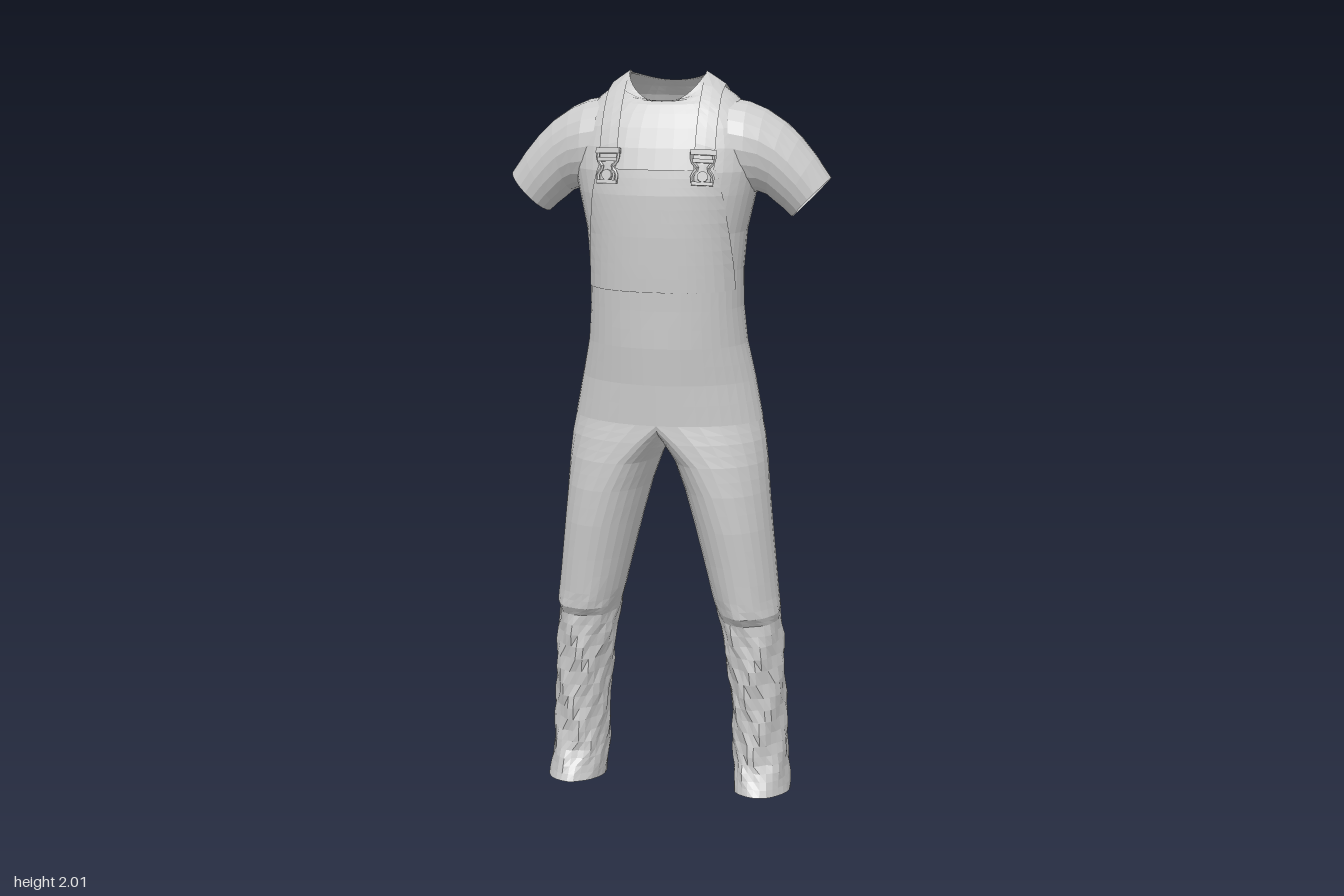
import * as THREE from 'three';

const fabric = new THREE.MeshStandardMaterial({ color: 0xcccccc, flatShading: true, side: THREE.DoubleSide });

// Surface made of nu x nv quads from point(u, v); quads failing keep(centre) are left out
function sheet(name, nu, nv, point, keep = () => true) {
  const pos = [], idx = [];
  for (let j = 0; j <= nv; j++) for (let i = 0; i <= nu; i++) pos.push(...point(i / nu, j / nv));
  const w = nu + 1;
  for (let j = 0; j < nv; j++) for (let i = 0; i < nu; i++) {
    const a = j * w + i, b = a + 1, c = a + w, d = c + 1;
    const mid = [0, 1, 2].map(k => (pos[a * 3 + k] + pos[d * 3 + k]) / 2);
    if (keep(mid)) idx.push(a, c, b, b, c, d);
  }
  const g = new THREE.BufferGeometry();
  g.setAttribute('position', new THREE.Float32BufferAttribute(pos, 3));
  g.setIndex(idx);
  g.computeVertexNormals();
  const m = new THREE.Mesh(g, fabric);
  m.name = name;
  return m;
}

// Row of a table at a fractional index
function rowAt(rows, r) {
  const i = Math.min(Math.max(Math.floor(r), 0), rows.length - 2), t = r - i;
  return rows[i].map((v, k) => v + (rows[i + 1][k] - v) * t);
}
// Fractional index at which column k reaches a value, searching between rows
function findRow(rows, k, value, from = 0) {
  for (let i = from; i < rows.length - 1; i++) {
    const a = rows[i][k], b = rows[i + 1][k];
    if ((a - value) * (b - value) <= 0 && a !== b) return i + (value - a) / (b - a);
  }
  return rows.length - 1;
}

// Torso sections: y, half width, back z, front z, neckline dip
const TORSO = [
  [1.09, .258, -.175, .15, 0], [1.2, .237, -.18, .155, 0], [1.3, .215, -.168, .165, 0],
  [1.4, .205, -.15, .168, 0], [1.5, .205, -.15, .174, 0], [1.6, .213, -.16, .178, 0],
  [1.7, .235, -.172, .178, 0], [1.76, .248, -.172, .17, 0], [1.82, .25, -.163, .152, 0],
  [1.87, .24, -.15, .13, 0], [1.91, .215, -.135, .11, .005], [1.945, .18, -.12, .095, .018],
  [1.975, .14, -.1, .085, .04], [2, .1, -.08, .078, .07]];
const N = 2.3;
const pw = (v, e) => Math.sign(v) * Math.abs(v) ** e;

function torsoPoint(r, a, puff = 1) {
  const [y, hw, zb, zf, dip] = rowAt(TORSO, r);
  const c = Math.cos(a), s = Math.sin(a);
  const blend = Math.min(1, Math.max(0, (r - 1) / 2)), e = 1 + (2 / N - 1) * blend;
  const spine = s < 0 ? .012 * Math.exp(-((c / .3) ** 2)) * Math.min(1, blend) : 0;
  const z = (zf + zb) / 2 + (zf - zb) / 2 * pw(s, e) + spine;
  const yy = y - dip * (s > 0 ? s ** 1.6 : .3 * s * s);
  return [hw * pw(c, e) * (puff > 1 ? 1 + (puff - 1) * .4 : 1), puff > 1 ? 1.7 + (yy - 1.7) * (yy > 1.7 ? puff : 1) : yy, z * puff];
}
// Point on the front (side 1) or back (side -1) at a sideways position x
function torsoAtX(r, x, side, puff) {
  const hw = rowAt(TORSO, r)[1];
  const c = pw(Math.max(-1, Math.min(1, x / hw)), N / 2);
  return torsoPoint(r, side * Math.acos(c), puff);
}

// Leg sections: y, inner x, hinge x, outer x, back z, front z
const LEG = [
  [1.09, 0, 0, .258, -.175, .15], [1.04, .004, .055, .267, -.173, .15], [.98, .02, .11, .273, -.168, .148],
  [.9, .048, .15, .279, -.16, .145], [.8, .075, .18, .288, -.15, .138], [.7, .1, .2, .298, -.14, .127],
  [.6, .125, .215, .308, -.131, .118], [.555, .138, .225, .314, -.13, .114], [.53, .142, .228, .312, -.13, .096],
  [.47, .153, .237, .318, -.133, .093], [.4, .165, .245, .322, -.135, .09], [.32, .174, .25, .327, -.138, .084],
  [.25, .18, .255, .33, -.14, .08], [.18, .183, .258, .333, -.143, .08], [.12, .185, .26, .337, -.146, .086],
  [.07, .187, .262, .341, -.149, .105], [.024, .19, .265, .345, -.152, .125]];

function legPoint(r, a, side) {
  const [y, inner, hinge, outer, zb, zf] = rowAt(LEG, r);
  const c = Math.cos(a), s = Math.sin(a);
  const low = Math.min(1, Math.max(0, (.62 - y) / .15)) * Math.min(1, y / .1);
  const fold = 1 + low * (.045 * Math.sin(5 * a + y * 31 + side) + .03 * Math.sin(9 * a - y * 47));
  const x = hinge + (c > 0 ? outer - hinge : hinge - inner) * c * fold;
  const dip = c < 0 ? .06 * c * Math.max(0, 1 - r / 2) : 0;
  const hem = .024 * s * Math.max(0, 1 - (y - .024) / .12);
  return [side * x, y + dip + hem, (zf + zb) / 2 + (zf - zb) / 2 * s * fold];
}

// Sleeve sections: top x, top y, bottom x, bottom y, middle z, half depth
const SLEEVE = [
  [.17, 1.94, .19, 1.7, -.012, .118], [.215, 1.932, .22, 1.695, -.014, .118], [.26, 1.913, .243, 1.698, -.018, .11],
  [.31, 1.88, .265, 1.69, -.02, .1], [.35, 1.843, .285, 1.673, -.02, .092], [.39, 1.795, .308, 1.655, -.019, .083],
  [.43, 1.738, .33, 1.635, -.017, .072]];

function sleevePoint(r, a, side) {
  const [tx, ty, bx, by, zc, hz] = rowAt(SLEEVE, r);
  const s = Math.sin(a), k = .5 + .5 * s;
  return [side * (bx + (tx - bx) * k), by + (ty - by) * k, zc + hz * pw(Math.cos(a), .9)];
}

// Shoulder strap running from the bib over the shoulder and down the back towards the spine
function strapPoint(u, v, side) {
  const back = v > .5, t = back ? (v - .5) * 2 : 1 - v * 2;
  const x = .125 + (u - .5) * .05 - (back ? .085 * t ** 1.5 : 0);
  const top = findRow(TORSO, 1, .125 + (u - .5) * .05, 8);
  const low = back ? 5.6 : 6.9;
  return torsoAtX(top + (low - top) * t, side * x, back ? -1 : 1, 1.035);
}

// Strap buckle: two bars, waisted side wires and a button
function buckle(side) {
  const g = new THREE.Group();
  g.name = side > 0 ? 'leftBuckle' : 'rightBuckle';
  const add = (geo, name, x, y, z) => {
    const m = new THREE.Mesh(geo, fabric);
    m.name = name;
    m.position.set(x, y, z);
    g.add(m);
  };
  add(new THREE.BoxGeometry(.066, .014, .012), 'topBar', 0, .038, 0);
  add(new THREE.BoxGeometry(.054, .01, .012), 'middleBar', 0, .016, 0);
  for (const s of [-1, 1]) {
    const path = new THREE.CatmullRomCurve3([[.029, .038], [.027, .014], [.014, -.004], [.026, -.022], [.024, -.042]]
      .map(([x, y]) => new THREE.Vector3(s * x, y, 0)));
    add(new THREE.TubeGeometry(path, 10, .005, 5), 'sideWire', 0, 0, 0);
  }
  add(new THREE.BoxGeometry(.056, .009, .012), 'bottomBar', 0, -.042, 0);
  add(new THREE.CylinderGeometry(.014, .014, .012, 10).rotateX(Math.PI / 2), 'button', 0, -.024, 0);
  const p = torsoAtX(7.2, side * .125, 1, 1.035);
  g.position.set(side * .125, 1.775, p[2] + .003);
  g.rotation.set(-.2, side * .2, 0);
  return g;
}

export function createModel() {
  const model = new THREE.Group();
  const TAU = Math.PI * 2, last = TORSO.length - 1;

  // Shirt and waist, with open armholes and neck
  const outsideSleeve = ([x, y, z]) =>
    Math.abs(x) < .18 || ((y - 1.815) / .1) ** 2 + ((z + .014) / .095) ** 2 > 1;
  model.add(sheet('torso', 44, last * 2, (u, v) => torsoPoint(v * last, u * TAU), outsideSleeve));
  model.add(sheet('collar', 40, 2, (u, v) => torsoPoint(last - .8 + v * .8, u * TAU, 1.012)));

  // Front bib, narrowing towards its top edge
  model.add(sheet('bib', 18, 10, (u, v) => {
    const half = .195 - .04 * v ** 1.5;
    return torsoAtX(3.5 + v * 3.6, (u * 2 - 1) * half, 1, 1.02);
  }));

  for (const side of [1, -1]) {
    const label = side > 0 ? 'left' : 'right';
    model.add(sheet(label + 'Leg', 28, (LEG.length - 1) * 2,
      (u, v) => legPoint(v * (LEG.length - 1), u * TAU, side)));
    model.add(sheet(label + 'Sleeve', 20, SLEEVE.length - 1,
      (u, v) => sleevePoint(v * (SLEEVE.length - 1), u * TAU, side)));
    model.add(sheet(label + 'Strap', 2, 28, (u, v) => strapPoint(u, v, side)));
    model.add(buckle(side));
  }
  return model;
}
